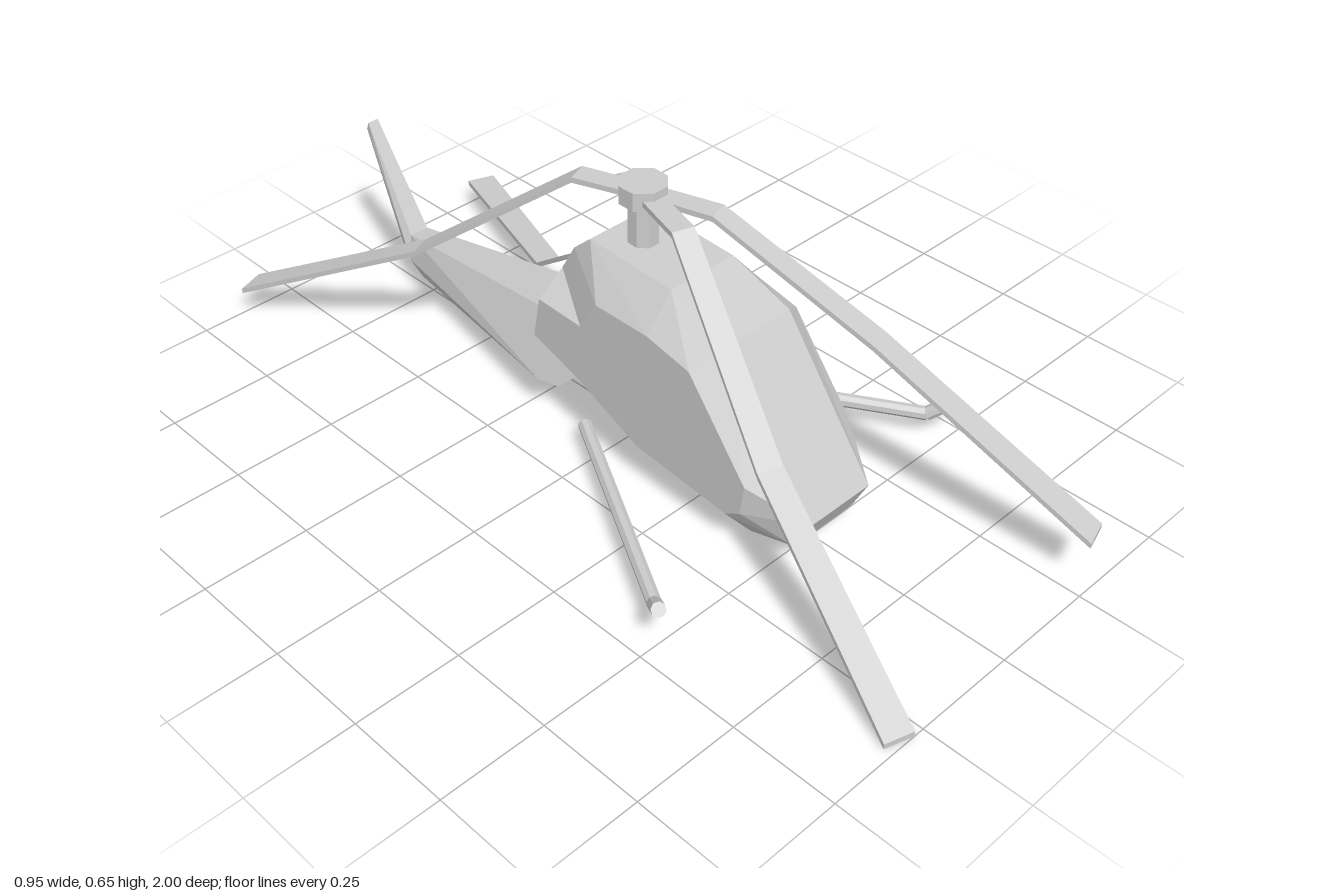
import * as THREE from 'three';
import { ConvexGeometry } from 'three/addons/geometries/ConvexGeometry.js';

const material = new THREE.MeshStandardMaterial({ color: 0xcccccc, flatShading: true });
const HUB = new THREE.Vector3(-0.008, 0, 0.005);

function addMesh(parent, name, geometry) {
  const mesh = new THREE.Mesh(geometry, material);
  mesh.name = name;
  parent.add(mesh);
  return mesh;
}

// Convex solid from half its corners, mirrored across x
function mirroredHull(points) {
  return new ConvexGeometry(points.flatMap(([x, y, z]) => [
    new THREE.Vector3(x, y, z), new THREE.Vector3(-x, y, z)]));
}

// Cabin: flat centre strip, bevelled to flat sides with a smaller profile
function cabinGeometry() {
  // [centre z, centre y, side z, side y], running up the nose and over the roof
  const profile = [
    [0.41, 0.01, 0.40, 0.095], [0.53, 0.045, 0.44, 0.12], [0.57, 0.125, 0.45, 0.195],
    [0.33, 0.45, 0.29, 0.40], [0.17, 0.505, 0.17, 0.425], [-0.07, 0.515, 0.02, 0.425],
    [-0.12, 0.47, -0.03, 0.345], [-0.16, 0.40, -0.16, 0.35], [-0.185, 0.20, -0.18, 0.245],
    [-0.02, 0.115, -0.04, 0.20], [0.12, 0.035, 0.14, 0.12]];
  const n = profile.length;
  const positions = [], index = [];
  for (const x of [-0.16, -0.09, 0.09, 0.16]) {
    const side = Math.abs(x) > 0.1;
    for (const [cz, cy, sz, sy] of profile) positions.push(x, side ? sy : cy, side ? sz : cz);
  }
  for (let r = 0; r < 3; r++) {
    for (let i = 0; i < n; i++) {
      const a = r * n + i, b = r * n + (i + 1) % n;
      index.push(a, a + n, b + n, a, b + n, b);
    }
  }
  const outline = profile.map(p => new THREE.Vector2(p[2], p[3]));
  for (const [a, b, c] of THREE.ShapeUtils.triangulateShape(outline, [])) {
    index.push(a, b, c, 3 * n + a, 3 * n + c, 3 * n + b);
  }
  const geometry = new THREE.BufferGeometry();
  geometry.setAttribute('position', new THREE.Float32BufferAttribute(positions, 3));
  geometry.setIndex(index);
  const flat = geometry.toNonIndexed();
  flat.computeVertexNormals();
  return flat;
}

// Drooping blade strip: path of [z, top y], widening away from the hub
function addBlade(parent, name, tipX, tipZ, path) {
  const dx = tipX - HUB.x, dz = tipZ - HUB.z;
  const stretch = Math.hypot(dx, dz) / Math.abs(dz);
  const top = path.map(([z, y]) => new THREE.Vector2(Math.abs(z - HUB.z) * stretch, y));
  const bottom = top.map(p => new THREE.Vector2(p.x, p.y - 0.013)).reverse();
  const geometry = new THREE.ExtrudeGeometry(new THREE.Shape([...top, ...bottom]),
    { depth: 1, bevelEnabled: false });
  const p = geometry.attributes.position;
  for (let i = 0; i < p.count; i++) {
    p.setZ(i, (p.getZ(i) - 0.5) * (0.048 + 0.02 * p.getX(i)));
  }
  geometry.computeVertexNormals();
  const blade = addMesh(parent, name, geometry);
  blade.position.copy(HUB);
  blade.rotation.y = Math.atan2(-dz, dx);
}

// Round bar between two points
function addBar(parent, name, from, to, radius) {
  const a = new THREE.Vector3(...from), b = new THREE.Vector3(...to);
  const bar = addMesh(parent, name, new THREE.CylinderGeometry(radius, radius, a.distanceTo(b), 8));
  bar.position.copy(a).lerp(b, 0.5);
  bar.quaternion.setFromUnitVectors(new THREE.Vector3(0, 1, 0), b.sub(a).normalize());
}

export function createModel() {
  const model = new THREE.Group();
  model.name = 'helicopter';

  addMesh(model, 'cabin', cabinGeometry());

  // Tail boom and raked fin
  const boomEnd = [[0.025, 0.155, -0.79], [0.04, 0.095, -0.78], [0.025, 0.05, -0.755]];
  addMesh(model, 'tailBoom', mirroredHull([
    [0.075, 0.245, -0.195], [0.147, 0.11, -0.19], [0.09, 0.06, -0.185], ...boomEnd]));
  addMesh(model, 'tailFin', mirroredHull([
    ...boomEnd, [0.03, 0.115, -0.815], [0.014, 0.405, -0.94], [0.014, 0.385, -0.948]]));

  // Mast and hub
  const rotor = new THREE.Group();
  rotor.name = 'rotor';
  model.add(rotor);
  for (const [name, radius, y0, y1] of [['mast', 0.035, 0.5, 0.605], ['mastNeck', 0.028, 0.6, 0.64],
    ['hub', 0.055, 0.612, 0.655]]) {
    const part = addMesh(rotor, name, new THREE.CylinderGeometry(radius, radius, y1 - y0, 8));
    part.position.set(HUB.x, (y0 + y1) / 2, HUB.z);
    part.rotation.y = Math.PI / 8;
  }

  // Blades, each with its own droop; the rear left one is split
  addBlade(rotor, 'frontLeftBlade', 0.292, 0.99,
    [[0.01, 0.636], [0.17, 0.636], [0.52, 0.445], [0.99, 0.137]]);
  addBlade(rotor, 'frontRightBlade', -0.308, 0.99,
    [[0.01, 0.636], [0.17, 0.636], [0.52, 0.29], [0.99, 0.013]]);
  addBlade(rotor, 'rearRightBlade', -0.368, -0.99,
    [[0, 0.636], [-0.14, 0.636], [-0.52, 0.335], [-0.99, 0.085]]);
  addBlade(rotor, 'rearLeftBladeRoot', 0.353, -0.98,
    [[0, 0.636], [-0.05, 0.636], [-0.145, 0.58]]);
  addBlade(rotor, 'rearLeftBlade', 0.353, -0.98,
    [[-0.145, 0.408], [-0.53, 0.108], [-0.98, 0.073]]);

  // Splayed skids with upturned front ends
  for (const [side, s] of [['left', 1], ['right', -1]]) {
    const skid = new THREE.Group();
    skid.name = side + 'Skid';
    model.add(skid);
    const knee = [s * 0.424, 0.066, 0.462];
    addBar(skid, 'runner', [s * 0.135, 0.054, -0.05], knee, 0.016);
    addBar(skid, 'runnerTip', knee, [s * 0.462, 0.11, 0.512], 0.016);
  }
  return model;
}
